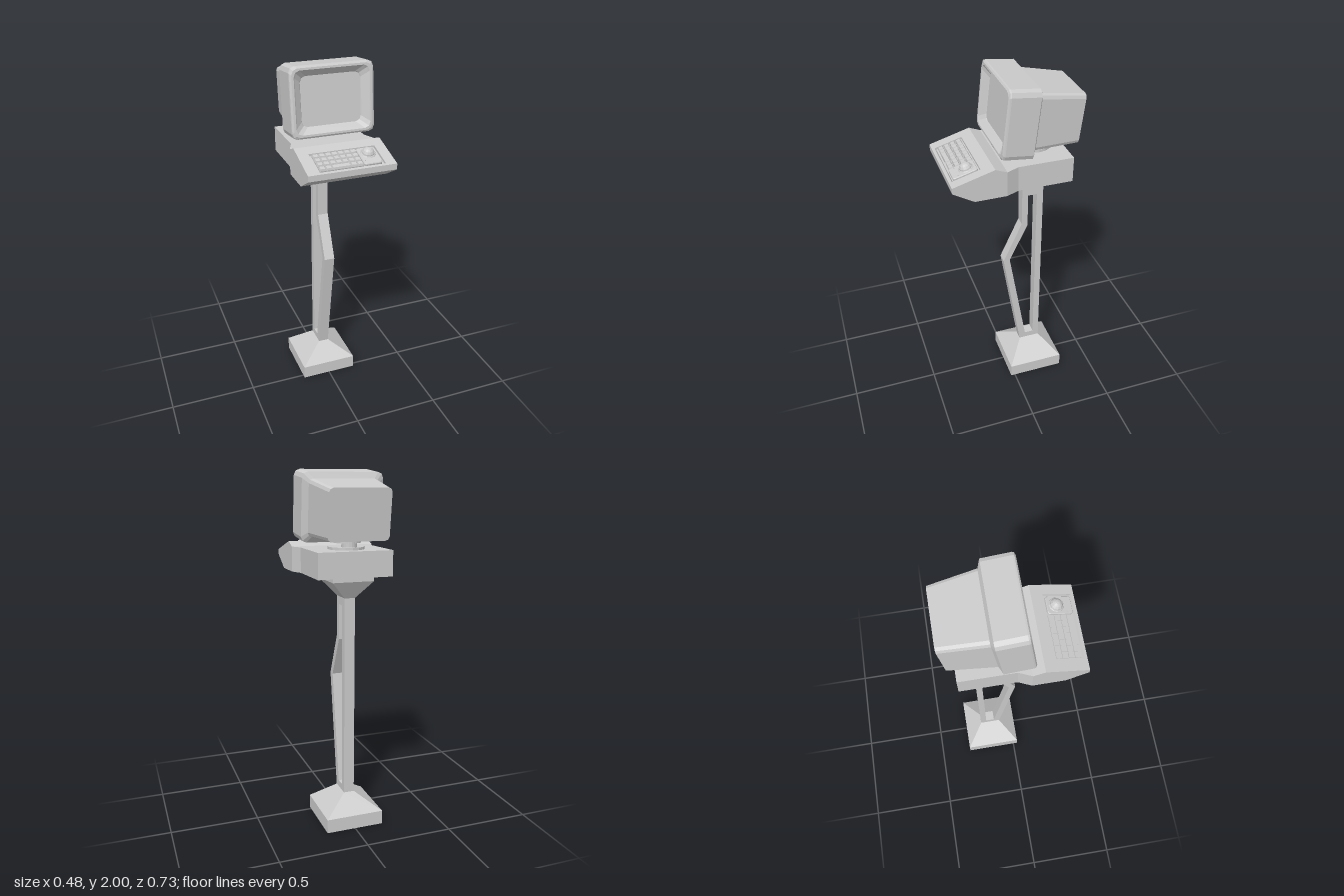
import * as THREE from 'three';

const mat = new THREE.MeshStandardMaterial({ color: 0xcccccc, flatShading: true });
const shellMat = new THREE.MeshStandardMaterial({ color: 0xcccccc, flatShading: true, side: THREE.DoubleSide });

function add(parent, name, geometry, material = mat) {
  const mesh = new THREE.Mesh(geometry, material);
  mesh.name = name;
  parent.add(mesh);
  return mesh;
}

// Rectangle loop with rounded corners, counter-clockwise in XY
function rect(hw, hh, z, r = 0, steps = 2) {
  if (!r) return [[hw, -hh, z], [hw, hh, z], [-hw, hh, z], [-hw, -hh, z]];
  const pts = [];
  [[1, -1], [1, 1], [-1, 1], [-1, -1]].forEach(([sx, sy], c) => {
    for (let i = 0; i <= steps; i++) {
      const a = (c - 1 + i / steps) * Math.PI / 2;
      pts.push([sx * (hw - r) + r * Math.cos(a), sy * (hh - r) + r * Math.sin(a), z]);
    }
  });
  return pts;
}

// Skin a series of loops, the first facing +z; caps are optional
function loft(loops, capStart = true, capEnd = true) {
  const n = loops[0].length, index = [];
  for (let k = 0; k < loops.length - 1; k++) {
    for (let i = 0; i < n; i++) {
      const j = (i + 1) % n, a = k * n, b = a + n;
      index.push(a + i, b + i, b + j, a + i, b + j, a + j);
    }
  }
  const last = (loops.length - 1) * n;
  for (let i = 1; i < n - 1; i++) {
    if (capStart) index.push(0, i, i + 1);
    if (capEnd) index.push(last, last + i + 1, last + i);
  }
  const g = new THREE.BufferGeometry();
  g.setAttribute('position', new THREE.Float32BufferAttribute(loops.flat(2), 3));
  g.setIndex(index);
  const flat = g.toNonIndexed();
  flat.computeVertexNormals();
  return flat;
}

// Same, standing upright: loop z becomes height, loops listed top to bottom
const upright = (...args) => loft(...args).rotateX(-Math.PI / 2);

const toPoints = (list) => list.map(([a, b]) => new THREE.Vector2(a, b));

// Extrude a side profile of [z, y] points from x0 to x1
function sideExtrude(profile, x0, x1, hole) {
  const shape = new THREE.Shape(toPoints(profile));
  if (hole) shape.holes.push(new THREE.Path(toPoints(hole)));
  return new THREE.ExtrudeGeometry(shape, { depth: x1 - x0, bevelEnabled: false })
    .rotateY(-Math.PI / 2).translate(x1, 0, 0);
}

function buildStand(root) {
  // Hollow foot, open underneath
  add(root, 'foot', upright([rect(0.03, 0.062, 0.18), rect(0.167, 0.167, 0.08), rect(0.167, 0.167, 0)], true, false), shellMat)
    .position.z = -0.142;
  // Post with a bent front strut
  add(root, 'post', sideExtrude(
    [[-0.204, 0.18], [-0.078, 0.18], [0.03, 0.845], [-0.08, 1.09], [-0.08, 1.33], [-0.204, 1.33]],
    -0.03, 0.03,
    [[-0.167, 0.217], [-0.114, 0.217], [-0.008, 0.845], [-0.115, 1.075], [-0.115, 1.275], [-0.167, 1.275]]));
  // Flared neck below the console
  add(root, 'neck', upright([rect(0.117, 0.118, 1.445), rect(0.117, 0.118, 1.415), rect(0.03, 0.062, 1.32)]))
    .position.z = -0.142;
}

function buildConsole(root) {
  const top = [[0.365, 1.54], [0.14, 1.605], [0.077, 1.58]];
  const bottom = [[0.077, 1.44], [0.25, 1.44], [0.365, 1.508]];
  // Wedge front, with a shallow tray cut in the middle slice
  const tray = [[0.35, 1.5443], [0.342, 1.534], [0.2, 1.5755], [0.2, 1.5877]];
  add(root, 'consoleFrontRight', sideExtrude([...bottom, ...top], -0.24, -0.18));
  add(root, 'consoleFrontLeft', sideExtrude([...bottom, ...top], 0.183, 0.24));
  add(root, 'consoleFrontMiddle', sideExtrude([...bottom, top[0], ...tray, top[1], top[2]], -0.18, 0.183));
  // Narrower rear
  const plan = new THREE.Shape(toPoints([[-0.24, -0.077], [0.24, -0.077], [0.21, -0.008], [0.21, 0.295], [-0.21, 0.295], [-0.21, -0.008]]));
  add(root, 'consoleRear', new THREE.ExtrudeGeometry(plan, { depth: 0.14, bevelEnabled: false })
    .rotateX(-Math.PI / 2).translate(0, 1.44, 0));
}

function buildKeyboard(root) {
  const panel = new THREE.Group();
  panel.name = 'keyboard';
  panel.position.set(0, 1.566, 0.275);
  panel.rotation.x = 0.281;
  root.add(panel);

  // Keys: tapered caps, with a wide bar in the last row
  const key = (name, x, z, w) => add(panel, name, upright([
    rect(w / 2 - 0.005, 0.0105, 0.005), rect(w / 2 - 0.001, 0.0155, -0.006), rect(w / 2 - 0.001, 0.0155, -0.013),
  ])).position.set(x, 0, z);
  const pitch = 0.034;
  for (let row = 0; row < 4; row++) {
    for (let col = 0; col < 7; col++) {
      const x = -0.151 + col * pitch, z = -0.053 + row * pitch;
      if (row === 3 && col >= 2 && col <= 4) {
        if (col === 3) key('spaceBar', x, z, 3 * pitch);
      } else key('key', x, z, pitch);
    }
  }

  // Trackball on its rounded plate
  add(panel, 'trackballPlate', upright([rect(0.047, 0.065, 0.004, 0.012), rect(0.05, 0.068, 0, 0.012), rect(0.05, 0.068, -0.013, 0.012)]))
    .position.set(0.122, 0, 0);
  add(panel, 'trackballRing', new THREE.CylinderGeometry(0.038, 0.042, 0.005, 12)).position.set(0.122, 0.006, -0.016);
  add(panel, 'trackball', new THREE.SphereGeometry(0.036, 12, 8)).position.set(0.122, 0.001, -0.016);
  for (const s of [-1, 1]) {
    add(panel, 'plateScrew', new THREE.CylinderGeometry(0.003, 0.003, 0.002, 6)).position.set(0.122 + s * 0.036, 0.005, 0.037);
  }
}

function buildMonitor(root) {
  // Swivel base
  add(root, 'swivelDisc', new THREE.CylinderGeometry(0.1, 0.1, 0.014, 16)).position.set(0, 1.587, -0.145);
  add(root, 'swivelColumn', new THREE.CylinderGeometry(0.042, 0.042, 0.1, 16)).position.set(0, 1.63, -0.19);
  add(root, 'swivelMount', new THREE.CylinderGeometry(0.075, 0.075, 0.04, 16)).position.set(0, 1.635, -0.155);

  // Tilted housing, skinned from the recessed screen out over the bezel to the back
  add(root, 'monitor', loft([
    rect(0.165, 0.13, -0.034, 0.03),
    rect(0.168, 0.133, -0.03, 0.03),
    rect(0.2, 0.158, -0.006, 0.032),
    rect(0.206, 0.164, 0, 0.032),
    rect(0.218, 0.175, 0, 0.032),
    rect(0.228, 0.184, -0.006, 0.032),
    rect(0.23, 0.186, -0.014, 0.032),
    rect(0.23, 0.186, -0.165, 0.032),
    rect(0.197, 0.153, -0.183, 0.024),
    rect(0.17, 0.135, -0.431, 0.022),
  ])).position.set(0, 1.815, 0.082);
  root.getObjectByName('monitor').rotation.x = -0.11;
}

export function createModel() {
  const root = new THREE.Group();
  root.name = 'computerTerminal';
  buildStand(root);
  buildConsole(root);
  buildKeyboard(root);
  buildMonitor(root);
  return root;
}
